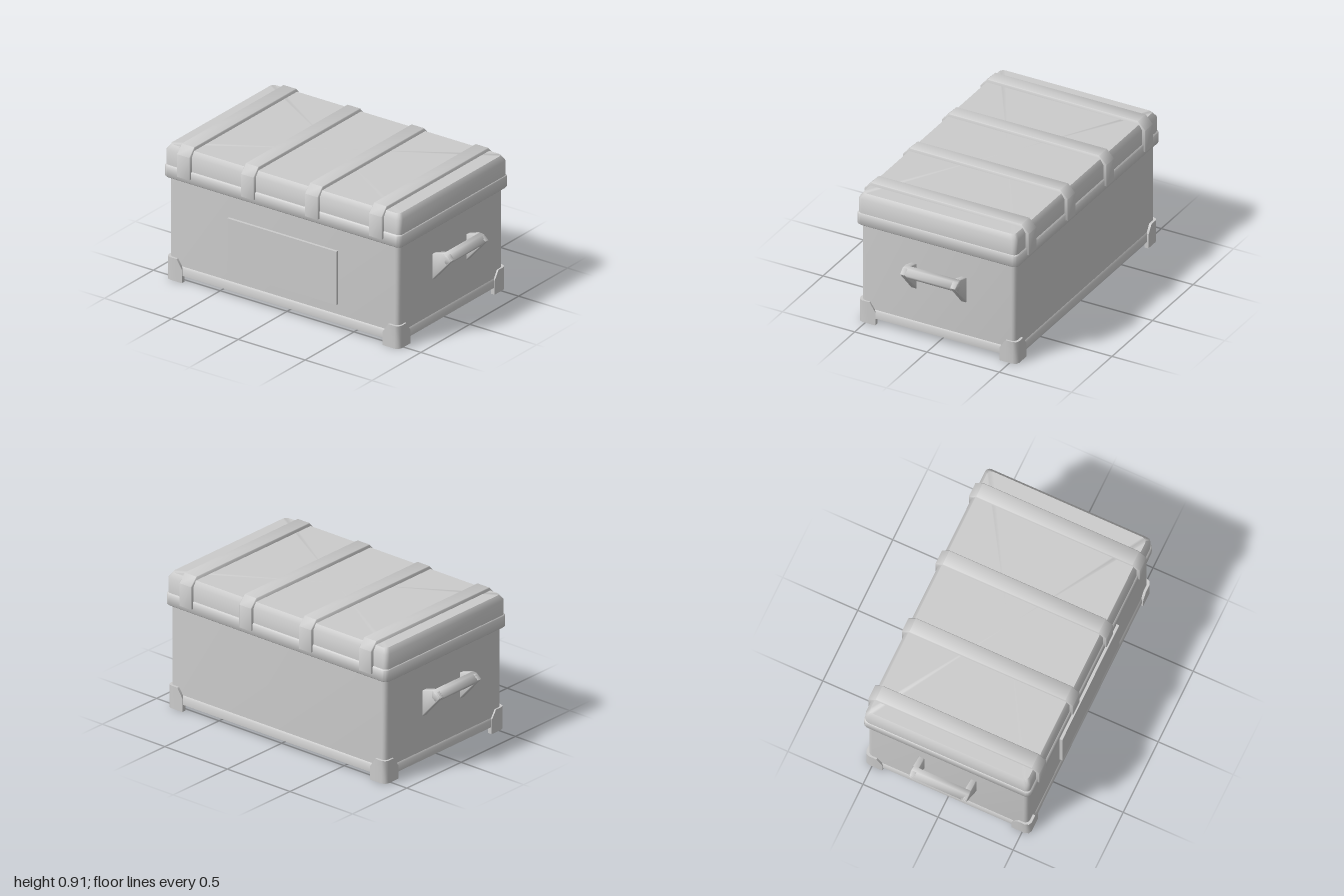
import * as THREE from 'three';
import { toCreasedNormals } from 'three/addons/utils/BufferGeometryUtils.js';

const material = new THREE.MeshStandardMaterial({ color: 0xcccccc });

function addPart(parent, name, geometry, crease = 0.9) {
  const mesh = new THREE.Mesh(toCreasedNormals(geometry, crease), material);
  mesh.name = name;
  parent.add(mesh);
  return mesh;
}

// Skins a row of equal closed cross-sections and caps both ends.
function loft(rings) {
  const n = rings[0].length;
  const last = rings.length - 1;
  const centre = (ring) => [0, 1, 2].map((k) => ring.reduce((sum, p) => sum + p[k], 0) / n);
  const points = [...rings.flat(), centre(rings[0]), centre(rings[last])];
  const index = [];
  for (let j = 0; j < n; j++) {
    const k = (j + 1) % n;
    for (let i = 0; i < last; i++) {
      const a = i * n + j, b = i * n + k;
      index.push(a, b, b + n, a, b + n, a + n);
    }
    index.push(points.length - 2, k, j);
    index.push(points.length - 1, last * n + j, last * n + k);
  }
  const geometry = new THREE.BufferGeometry();
  geometry.setAttribute('position', new THREE.Float32BufferAttribute(points.flat(), 3));
  geometry.setIndex(index);
  geometry.computeVertexNormals();
  return geometry;
}

// Upright rectangular solid with rounded corners; profile lists [inset, height].
function roundedBlock(halfX, halfZ, radius, profile) {
  const steps = 3;
  return loft(profile.map(([inset, y]) => {
    const ring = [];
    for (let corner = 0; corner < 4; corner++) {
      const sx = corner === 0 || corner === 3 ? 1 : -1;
      const sz = corner < 2 ? -1 : 1;
      for (let s = 0; s <= steps; s++) {
        const angle = (corner + s / steps) * Math.PI / 2;
        ring.push([
          sx * (halfX - inset - radius) + radius * Math.cos(angle), y,
          sz * (halfZ - inset - radius) - radius * Math.sin(angle),
        ]);
      }
    }
    return ring;
  }));
}

// Outline in x and y, extruded evenly about z = 0.
function slab(outline, depth, bevel) {
  const shape = new THREE.Shape(outline.map(([x, y]) => new THREE.Vector2(x, y)));
  return new THREE.ExtrudeGeometry(shape, {
    depth: depth - 2 * bevel, bevelSegments: 1,
    bevelSize: bevel, bevelThickness: bevel, bevelOffset: -bevel,
  }).translate(0, 0, bevel - depth / 2);
}

// Corner guard: a bent plate with sloped ends, outer corner at the origin.
function footGeometry() {
  const t = 0.028;
  const section = (ox, oz, ix, iz, top) => [[ox, 0, oz], [ox, top, oz], [ix, top, iz], [ix, 0, iz]];
  const arm = [[0.12, 0.09], [0.08, 0.15], [0.03, 0.15]];
  return loft([
    ...arm.map(([u, top]) => section(0, -u, -t, -Math.max(u, t), top)),
    section(-0.009, -0.009, -t - 0.002, -t - 0.002, 0.15),
    ...arm.reverse().map(([u, top]) => section(-u, 0, -Math.max(u, t), -t, top)),
  ]);
}

// Two triangular arms joined by a grip.
function createHandle() {
  const handle = new THREE.Group();
  const armOutline = [[0.85, 0.325], [0.862, 0.33], [1, 0.488], [0.965, 0.518], [0.93, 0.522], [0.85, 0.498]];
  for (const z of [-0.173, 0.173]) {
    addPart(handle, 'handleArm', slab(armOutline, 0.04, 0.004), 1.1).position.z = z;
  }
  const gripOutline = [[0.935, 0.475], [0.966, 0.452], [1, 0.488], [0.965, 0.518], [0.935, 0.522]];
  addPart(handle, 'handleGrip', slab(gripOutline, 0.386, 0.004), 1.7);
  return handle;
}

export function createModel() {
  const crate = new THREE.Group();
  crate.name = 'storageCrate';

  // Body, standing in a bottom trim whose underside is recessed
  addPart(crate, 'body', roundedBlock(0.86, 0.534, 0.03, [[0, 0.1], [0, 0.7]]));
  addPart(crate, 'bottomTrim', roundedBlock(0.867, 0.542, 0.03,
    [[0.02, 0.097], [0.02, 0.045], [0, 0.045], [0, 0.092], [0.008, 0.104]]));

  // Lid with a wider rim
  addPart(crate, 'lidRim', roundedBlock(0.885, 0.557, 0.03,
    [[0.005, 0.678], [0, 0.684], [0, 0.754], [0.005, 0.76]]));
  addPart(crate, 'lid', roundedBlock(0.88, 0.549, 0.03,
    [[0, 0.75], [0, 0.858], [0.022, 0.892]]));

  // Straps folded over the lid
  const strapOutline = [[-0.57, 0.71], [0.57, 0.71], [0.57, 0.86], [0.52, 0.913], [-0.52, 0.913], [-0.57, 0.86]];
  for (let i = 0; i < 4; i++) {
    const strap = addPart(crate, 'strap', slab(strapOutline, 0.1, 0.004).rotateY(Math.PI / 2));
    strap.position.x = -0.726 + i * 0.479;
  }

  // Front plate
  addPart(crate, 'frontPanel', new THREE.BoxGeometry(0.815, 0.355, 0.03)).position.set(-0.002, 0.349, 0.537);

  // Corner feet
  for (const [x, z, turn] of [[1, 1, 0], [1, -1, 1], [-1, -1, 2], [-1, 1, 3]]) {
    const foot = addPart(crate, 'cornerFoot', footGeometry());
    foot.position.set(x * 0.871, 0, z * 0.55);
    foot.rotation.y = turn * Math.PI / 2;
  }

  // Side handles
  for (const [name, turn] of [['leftHandle', 0], ['rightHandle', Math.PI]]) {
    const handle = createHandle();
    handle.name = name;
    handle.position.z = -0.003;
    handle.rotation.y = turn;
    crate.add(handle);
  }
  return crate;
}
